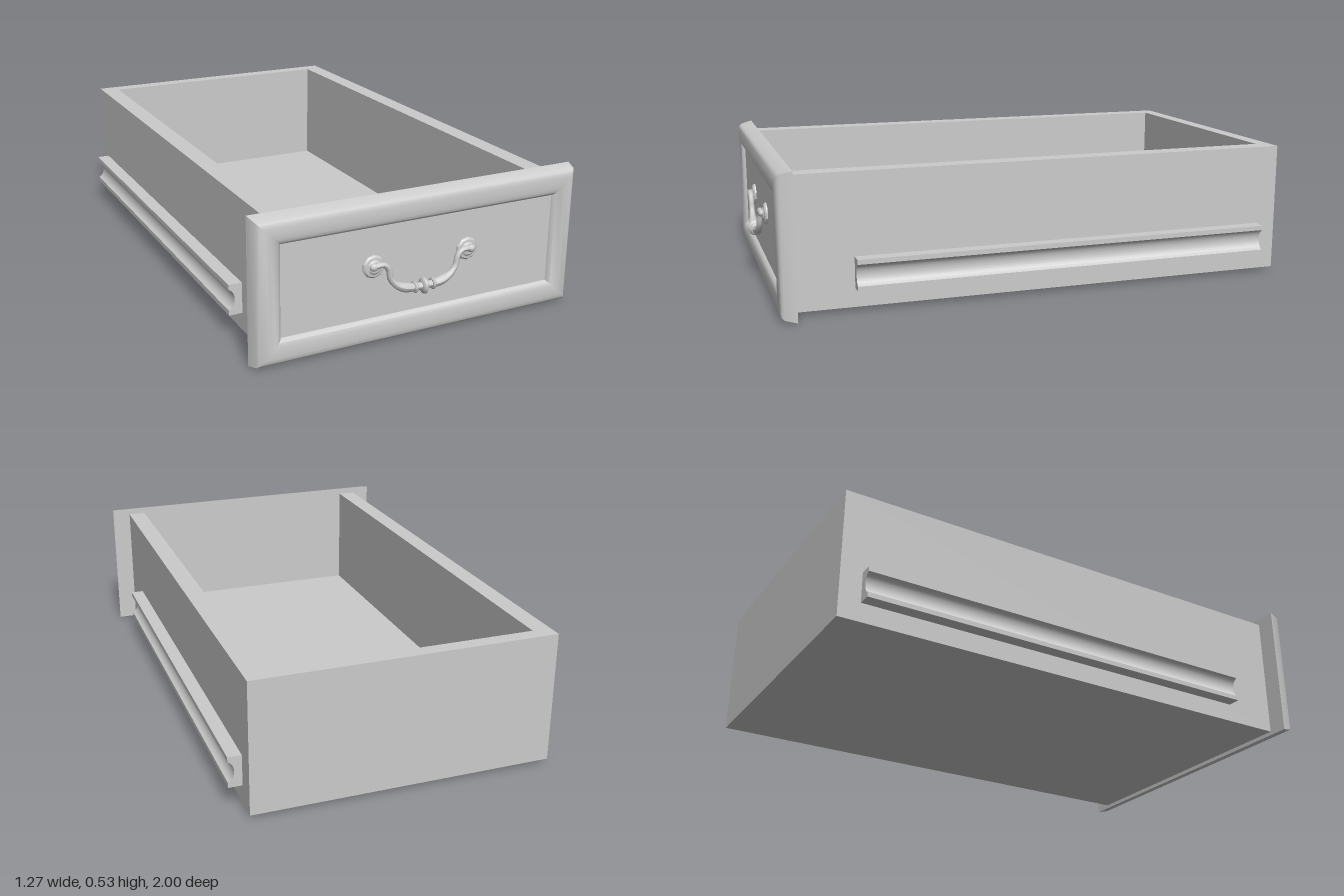
import * as THREE from 'three';
import { toCreasedNormals } from 'three/addons/utils/BufferGeometryUtils.js';

const material = new THREE.MeshStandardMaterial({ color: 0xcccccc });

function add(parent, name, geometry, x = 0, y = 0, z = 0) {
  const mesh = new THREE.Mesh(geometry, material);
  mesh.name = name;
  mesh.position.set(x, y, z);
  parent.add(mesh);
  return mesh;
}

const polygon = (points) => new THREE.Shape(points.map(([x, y]) => new THREE.Vector2(x, y)));

// Sweeps an [inset, z] profile around a rectangle with mitred corners
function mitredFrame(halfW, halfH, profile) {
  const corners = [[-1, -1], [1, -1], [1, 1], [-1, 1]];
  const at = ([sx, sy], [d, z]) => [sx * (halfW - d), sy * (halfH - d), z];
  const positions = [];
  for (let i = 0; i < 4; i++) {
    for (let j = 0; j < profile.length - 1; j++) {
      const a = at(corners[i], profile[j]);
      const b = at(corners[(i + 1) % 4], profile[j]);
      const c = at(corners[(i + 1) % 4], profile[j + 1]);
      const d = at(corners[i], profile[j + 1]);
      positions.push(...a, ...b, ...c, ...a, ...c, ...d);
    }
  }
  const geometry = new THREE.BufferGeometry();
  geometry.setAttribute('position', new THREE.Float32BufferAttribute(positions, 3));
  return toCreasedNormals(geometry, 0.7);
}

// Tube whose radius follows radiusAt(t)
function taperedTube(curve, segments, sides, radiusAt) {
  const geometry = new THREE.TubeGeometry(curve, segments, 1, sides);
  const pos = geometry.attributes.position;
  const v = new THREE.Vector3();
  for (let i = 0; i <= segments; i++) {
    const centre = curve.getPointAt(i / segments);
    for (let j = 0; j <= sides; j++) {
      const k = i * (sides + 1) + j;
      v.fromBufferAttribute(pos, k).sub(centre).multiplyScalar(radiusAt(i / segments)).add(centre);
      pos.setXYZ(k, v.x, v.y, v.z);
    }
  }
  geometry.computeVertexNormals();
  return geometry;
}

function createBody() {
  const body = new THREE.Group();
  body.name = 'drawerBox';

  // Side and back walls as one U-shaped plan, open towards the front panel
  const plan = polygon([
    [-0.56, -0.905], [-0.49, -0.905], [-0.49, 0.945], [0.49, 0.945],
    [0.49, -0.905], [0.56, -0.905], [0.56, 1], [-0.56, 1],
  ]);
  const walls = new THREE.ExtrudeGeometry(plan, { depth: 0.49, bevelEnabled: false });
  walls.rotateX(-Math.PI / 2);
  add(body, 'walls', walls, 0, 0.015, 0);
  add(body, 'bottom', new THREE.BoxGeometry(0.98, 0.06, 1.85), 0, 0.045, -0.02);
  return body;
}

function createRunner(side) {
  // Channel section with a rounded groove on its outer face
  const section = new THREE.Shape();
  section.moveTo(0, 0.085);
  section.lineTo(0.05, 0.085);
  section.lineTo(0.05, 0.103);
  section.bezierCurveTo(0.02, 0.115, 0.02, 0.17, 0.05, 0.182);
  section.lineTo(0.05, 0.2);
  section.lineTo(0, 0.2);
  section.closePath();
  let geometry = new THREE.ExtrudeGeometry(section, { depth: 1.61, bevelEnabled: false, curveSegments: 10 });
  // Turn the section round for the other side
  if (side < 0) {
    geometry.rotateY(Math.PI);
    geometry.translate(0, 0, 1.61);
  }
  geometry = toCreasedNormals(geometry, 0.6);
  return { geometry, x: side > 0 ? 0.56 : -0.563 };
}

function createFront() {
  const front = new THREE.Group();
  front.name = 'frontPanel';
  add(front, 'panel', new THREE.BoxGeometry(1.08, 0.35, 0.04), 0, 0.265, 0.925);
  add(front, 'moulding', mitredFrame(0.635, 0.265, [
    [0.1, 0.905], [0, 0.905], [0.011, 0.95], [0.02, 0.959], [0.035, 0.964],
    [0.055, 0.966], [0.075, 0.964], [0.088, 0.959], [0.096, 0.952], [0.1, 0.944],
  ]), 0, 0.265, 0);
  return front;
}

function createHandle() {
  const handle = new THREE.Group();
  handle.name = 'handle';
  handle.position.set(-0.007, 0, 0);

  // Drooping bail, thickest either side of the centre
  const half = [
    [0.196, 0.296, 0.966], [0.155, 0.297, 0.967], [0.137, 0.277, 0.967], [0.131, 0.246, 0.967],
    [0.109, 0.217, 0.968], [0.07, 0.2, 0.97],
  ];
  const points = [
    ...half.map(([x, y, z]) => new THREE.Vector3(-x, y, z)),
    new THREE.Vector3(0, 0.195, 0.972),
    ...half.slice().reverse().map((p) => new THREE.Vector3(...p)),
  ];
  const curve = new THREE.CatmullRomCurve3(points, false, 'centripetal');
  const radiusAt = (t) => {
    const d = Math.abs(t - 0.5) * 2;
    return 0.0105 + 0.007 * Math.exp(-(((d - 0.28) / 0.16) ** 2)) + 0.003 * Math.exp(-((d / 0.08) ** 2));
  };
  add(handle, 'bail', taperedTube(curve, 40, 10, radiusAt));

  // Round collar in the middle of the bail
  const collar = new THREE.SphereGeometry(0.03, 14, 10);
  collar.scale(0.4, 1, 0.93);
  add(handle, 'collar', collar, 0, 0.195, 0.972);
  for (const side of [-1, 1]) {
    const ring = new THREE.TorusGeometry(0.016, 0.006, 6, 12);
    ring.rotateY(Math.PI / 2);
    add(handle, 'bailRing', ring, side * 0.036, 0.196, 0.971);
  }

  // Dished backplates with a pivot knob
  const profile = [[0.042, 0], [0.042, 0.006], [0.036, 0.012], [0.027, 0.013], [0.02, 0.018], [0, 0.02]];
  for (const side of [-1, 1]) {
    const rosette = new THREE.LatheGeometry(profile.map(([r, y]) => new THREE.Vector2(r, y)), 10);
    rosette.rotateX(Math.PI / 2);
    add(handle, 'rosette', toCreasedNormals(rosette, 0.5), side * 0.186, 0.29, 0.944);
    const knob = new THREE.SphereGeometry(0.014, 10, 8);
    knob.scale(1.2, 1, 0.8);
    add(handle, 'pivotKnob', knob, side * 0.193, 0.295, 0.966);
  }
  return handle;
}

export function createModel() {
  const model = new THREE.Group();
  model.name = 'drawer';
  model.add(createBody(), createFront(), createHandle());
  for (const side of [1, -1]) {
    const { geometry, x } = createRunner(side);
    add(model, side > 0 ? 'leftRunner' : 'rightRunner', geometry, x, 0, -0.92);
  }
  // Lathe and frame surfaces are open at the back
  material.side = THREE.DoubleSide;
  return model;
}
